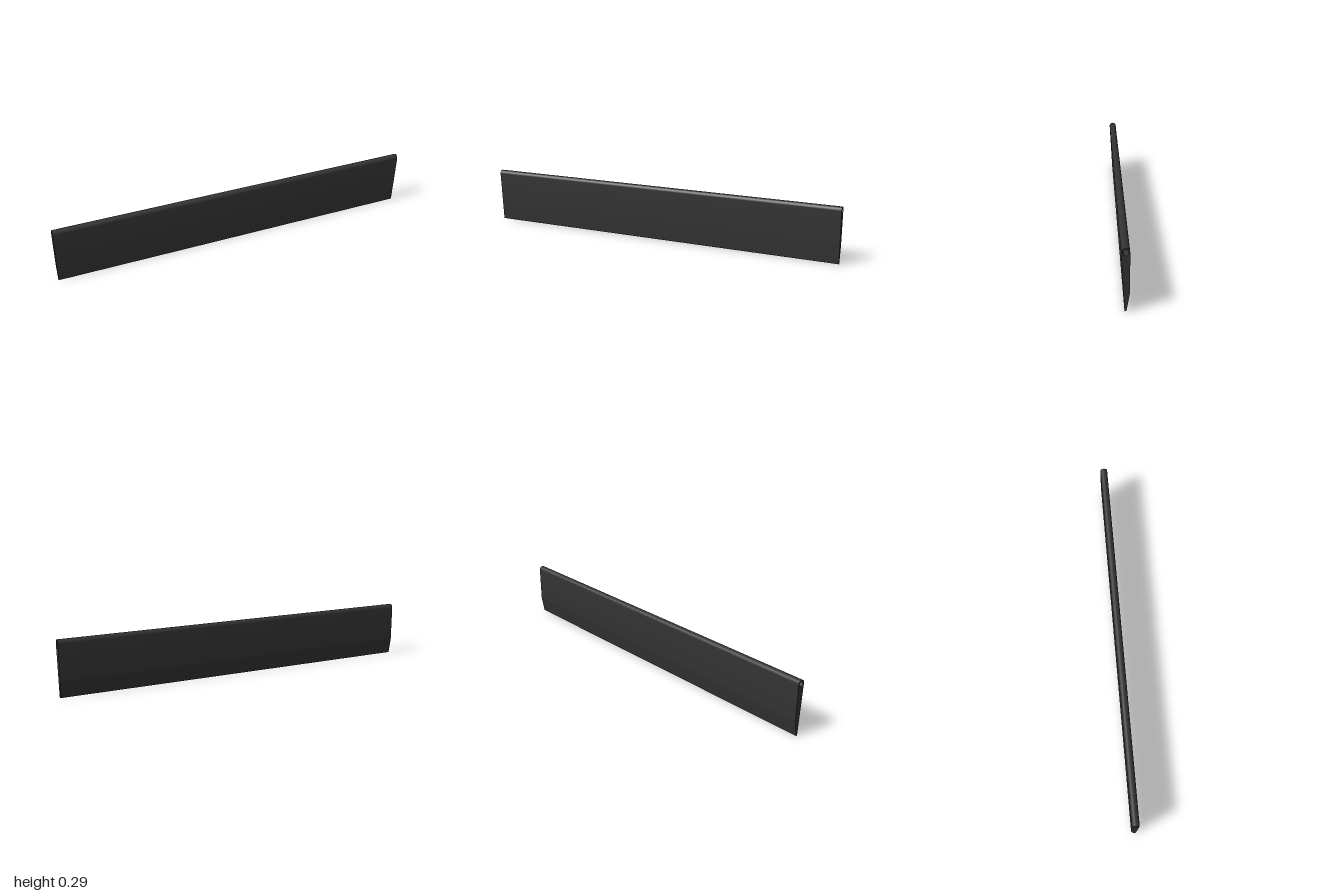
import * as THREE from 'three';
import { toCreasedNormals } from 'three/addons/utils/BufferGeometryUtils.js';

const LENGTH = 2;
const HALF_WIDTH = 0.0195;
const EYE_Y = 0.275;       // centre of the rounded top and its bore
const EYE_RADIUS = 0.0135;
const TAPER_Y = 0.088;     // where the sides start to narrow
const HALF_TIP = 0.004;

export function createModel() {
  const group = new THREE.Group();
  group.name = 'slat';

  // Cross-section: tapered foot, straight sides, rounded top
  const profile = new THREE.Shape();
  profile.moveTo(-HALF_TIP, 0);
  profile.lineTo(HALF_TIP, 0);
  profile.lineTo(HALF_WIDTH, TAPER_Y);
  profile.lineTo(HALF_WIDTH, EYE_Y);
  profile.absarc(0, EYE_Y, HALF_WIDTH, 0, Math.PI, false);
  profile.closePath();

  // Bore running the full length
  const bore = new THREE.Path();
  bore.absarc(0, EYE_Y, EYE_RADIUS, 0, Math.PI * 2, true);
  profile.holes.push(bore);

  // Extrude, centre and turn the length along x
  const extruded = new THREE.ExtrudeGeometry(profile, {
    depth: LENGTH, bevelEnabled: false, curveSegments: 24,
  });
  extruded.translate(0, 0, -LENGTH / 2).rotateY(Math.PI / 2);

  // Smooth the curves but keep the taper line and end edges sharp
  const geometry = toCreasedNormals(extruded, THREE.MathUtils.degToRad(9));
  const blade = new THREE.Mesh(
    geometry,
    new THREE.MeshStandardMaterial({ color: 0x333333 }),
  );
  blade.name = 'blade';
  group.add(blade);
  return group;
}
